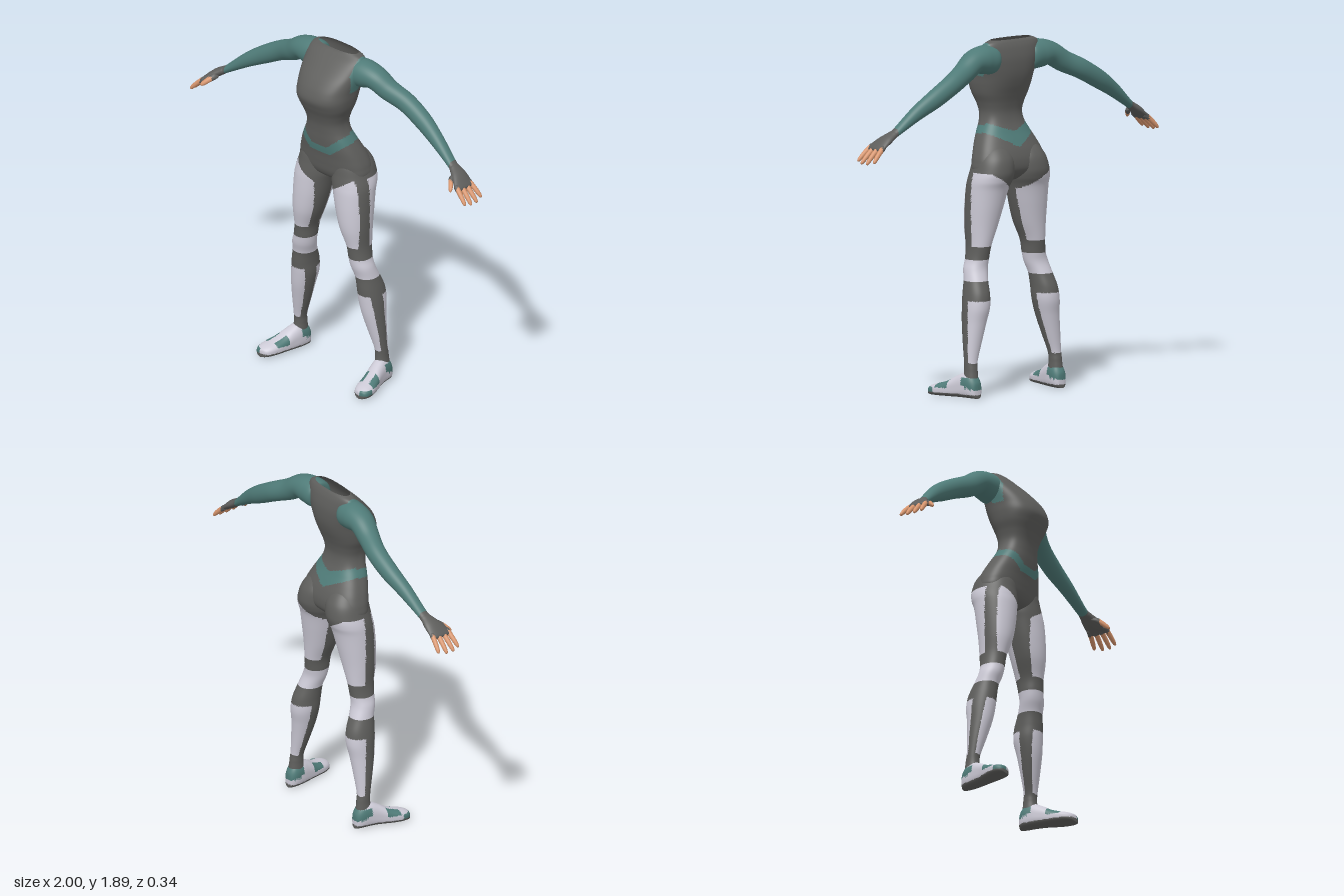
import * as THREE from 'three';

const flat = (name, color, side = THREE.FrontSide) => {
  const m = new THREE.MeshStandardMaterial({ color, side });
  m.name = name;
  return m;
};
const MATS = [
  flat('charcoal', 0x5e5e5c, THREE.DoubleSide),
  flat('teal', 0x4f7b78, THREE.DoubleSide),
  flat('paleLilac', 0xcccad6),
  flat('skin', 0xd8966e),
];
const DARK = 0, TEAL = 1, PALE = 2, SKIN = 3;
const lerp = THREE.MathUtils.lerp;

// Smoothly resample a list of stations
function resample(st, n) {
  const out = [];
  for (let i = 0; i <= n; i++) {
    const t = (i / n) * (st.length - 1);
    const k = Math.min(Math.floor(t), st.length - 2), f = t - k;
    const a = st[Math.max(k - 1, 0)], b = st[k], c = st[k + 1], d = st[Math.min(k + 2, st.length - 1)];
    out.push(b.map((v, j) => v + 0.5 * f * (c[j] - a[j] + f * (2 * a[j] - 5 * v + 4 * c[j] - d[j]
      + f * (3 * (v - c[j]) + d[j] - a[j])))));
  }
  return out;
}

// Superellipse coordinate pair
function oval(a, n) {
  const p = (v) => Math.sign(v) * Math.pow(Math.abs(v), 2 / n);
  return [p(Math.cos(a)), p(Math.sin(a))];
}

// Skin rings into one smooth mesh; paint(|x|, y, z) picks the colour of each face
function loft(name, rings, paint, mirror = 1) {
  const m = rings[0].length, pos = [], lists = MATS.map(() => []);
  rings.forEach((r) => r.forEach((p) => pos.push(p[0] * mirror, p[1], p[2])));
  const tris = [];
  for (let i = 0; i < rings.length - 1; i++) {
    for (let j = 0; j < m; j++) {
      const a = i * m + j, b = i * m + (j + 1) % m;
      tris.push([a, b, b + m], [a, b + m, a + m]);
    }
  }
  const P = (i) => new THREE.Vector3(pos[3 * i], pos[3 * i + 1], pos[3 * i + 2]);
  let volume = 0;
  tris.forEach(([a, b, c]) => { volume += P(a).dot(P(b).cross(P(c))); });
  tris.forEach(([a, b, c]) => {
    const g = P(a).add(P(b)).add(P(c)).divideScalar(3);
    lists[paint(Math.abs(g.x), g.y, g.z)].push(...(volume > 0 ? [a, b, c] : [a, c, b]));
  });
  const geo = new THREE.BufferGeometry();
  geo.setAttribute('position', new THREE.Float32BufferAttribute(pos, 3));
  geo.setIndex(lists.flat());
  let start = 0;
  lists.forEach((l, i) => {
    if (l.length) geo.addGroup(start, l.length, i);
    start += l.length;
  });
  geo.computeVertexNormals();
  const mesh = new THREE.Mesh(geo, MATS);
  mesh.name = name;
  return mesh;
}

// Horizontal rings from [y, centreX, halfWidth, zFront, zBack]
const uprightRings = (st, rows, sides, n) => resample(st, rows).map(([y, cx, w, f, b]) =>
  Array.from({ length: sides }, (_, j) => {
    const [c, s] = oval((j / sides) * Math.PI * 2, n);
    return [cx + w * c, y, (f + b) / 2 + ((f - b) / 2) * s];
  }));

// Rings across a limb from [x, y, z, halfThickness, halfDepth]
function limbRings(st, rows, sides) {
  const s = resample(st, rows);
  return s.map(([x, y, z, h, d], i) => {
    const p = s[Math.max(i - 1, 0)], q = s[Math.min(i + 1, rows)];
    const dx = q[0] - p[0], dy = q[1] - p[1], len = Math.hypot(dx, dy) || 1;
    return Array.from({ length: sides }, (_, j) => {
      const a = (j / sides) * Math.PI * 2, u = h * Math.cos(a);
      return [x - (dy / len) * u, y + (dx / len) * u, z + d * Math.sin(a)];
    });
  });
}

const TORSO = [
  [1.895, 0, .135, -.012, -.095], [1.88, 0, .17, 0, -.107], [1.85, 0, .185, .036, -.12],
  [1.80, 0, .185, .085, -.13], [1.75, 0, .177, .13, -.13], [1.70, 0, .168, .162, -.123],
  [1.65, 0, .163, .175, -.108], [1.60, 0, .152, .158, -.088], [1.55, 0, .131, .135, -.07],
  [1.50, 0, .119, .118, -.06], [1.45, 0, .128, .11, -.066], [1.40, 0, .155, .105, -.085],
  [1.35, 0, .182, .098, -.11], [1.30, 0, .205, .088, -.133], [1.25, 0, .221, .08, -.145],
  [1.20, 0, .222, .07, -.14], [1.165, 0, .16, .05, -.11], [1.14, 0, .05, .01, -.07], [1.135, 0, 0, -.03, -.03],
];
const LEG = [
  [1.34, .1, 0, -.03, -.03], [1.33, .1, .06, .03, -.10], [1.27, .108, .1, .065, -.152],
  [1.20, .12, .112, .076, -.167], [1.15, .129, .117, .083, -.158], [1.10, .139, .111, .088, -.138],
  [1.0, .153, .099, .09, -.118], [.9, .168, .083, .084, -.1], [.8, .187, .061, .063, -.086],
  [.73, .197, .06, .056, -.077], [.68, .21, .064, .05, -.078], [.62, .224, .062, .034, -.1],
  [.55, .235, .066, .03, -.128], [.48, .242, .069, .024, -.134], [.4, .254, .062, .013, -.121],
  [.3, .272, .05, -.01, -.111], [.2, .29, .035, -.033, -.106], [.15, .293, .033, -.036, -.112],
  [.08, .295, .034, -.03, -.115], [.075, .295, 0, -.07, -.07],
];
const ARM = [
  [.11, 1.79, -.05, 0, 0], [.12, 1.79, -.05, .07, .07], [.19, 1.797, -.055, .077, .077],
  [.265, 1.79, -.06, .063, .07], [.345, 1.742, -.075, .058, .06], [.45, 1.692, -.1, .054, .052],
  [.57, 1.626, -.1, .05, .047], [.68, 1.56, -.085, .039, .039], [.80, 1.474, -.067, .022, .03],
  [.83, 1.455, -.06, .021, .034], [.87, 1.43, -.05, .023, .05], [.91, 1.4, -.037, .018, .062],
  [.932, 1.384, -.035, .012, .058], [.937, 1.38, -.035, 0, 0],
];
// [z, centreX, halfWidth, height]
const FOOT = [
  [-.132, .293, 0, .06], [-.127, .293, .026, .09], [-.10, .294, .042, .124], [-.05, .3, .046, .135],
  [0, .312, .048, .115], [.05, .328, .053, .086], [.1, .342, .056, .069], [.14, .35, .05, .058],
  [.166, .354, .033, .046], [.175, .355, 0, .035],
];

// Suit with waist belt and shoulder patches
function paintTorso(x, y, z) {
  if (x > .165 && z < .04 && y > 1.7) return TEAL;
  const front = z > 0;
  const low = front ? 1.32 + Math.max(0, x - .07) * .8 : 1.32 + x * .5;
  const high = front ? 1.36 + Math.max(0, x - .05) * .85 : 1.40 + x * .35;
  return y > low && y < high ? TEAL : DARK;
}

// Pale panels broken by knee bands and side stripes
function paintLeg(x, y, z) {
  const cx = lerp(.3, .13, (y - .15) / 1);
  if (y > .62 && y < .73) return PALE;
  if (y >= .73) {
    if (y < .8 || y > 1.195 - Math.max(0, .2 - x) * .65) return DARK;
    const t = (y - .8) / .4;
    return x > cx
      ? (z < .042 && z > -.025 ? DARK : PALE)
      : (z < lerp(.035, .075, t) && z > lerp(-.035, -.06, t) ? DARK : PALE);
  }
  if (y > .52 || y < .19) return DARK;
  const t = (y - .19) / .33;
  return z < lerp(-.045, .008, t) && z > lerp(-.085, -.065, t) ? DARK : PALE;
}

// Dark sole, teal heel and side patches
function paintFoot(x, y, z) {
  const cx = lerp(.3, .35, (z + .05) / .19);
  if (y < .024) return DARK;
  if (z < -.05 && y > .05 + (z + .13) * .25 && y < .115) return TEAL;
  if (z > .03 && z < .105 && y > .05 && Math.abs(x - cx) > .022) return TEAL;
  if (z > .115 && y < .05 && x > cx) return TEAL;
  return PALE;
}

function buildSide(s) {
  const side = new THREE.Group();
  side.name = s > 0 ? 'leftLimbs' : 'rightLimbs';
  side.add(loft('leg', uprightRings(LEG, 190, 72, 2.1), paintLeg, s));
  side.add(loft('armAndGlove', limbRings(ARM, 120, 40), (x) => (x > .812 ? DARK : TEAL), s));

  // Shoe, lofted from heel to toe
  const shoe = resample(FOOT, 70).map(([z, cx, w, h]) => Array.from({ length: 48 }, (_, j) => {
    const a = (j / 48) * Math.PI * 2;
    const [c, v] = oval(a, Math.sin(a) < 0 ? 3.4 : 2.2);
    return [cx + w * c, .004 + (h / 2) * (1 + v), z];
  }));
  side.add(loft('shoe', shoe, paintFoot, s));

  // Four fingers: [base z, tip z, reach]
  [[.012, .03, .9], [-.02, -.008, 1], [-.052, -.052, 1], [-.082, -.097, .88]].forEach(([z0, z1, k], i) => {
    const at = (t, r) => [lerp(.905, lerp(.905, 1, k), t), lerp(1.402, lerp(1.402, 1.312, k), t * (.75 + .25 * t)),
      lerp(z0, z1, t), r, r];
    const rows = [at(0, 0), at(.02, .014), at(.4, .0135), at(.75, .012), at(.95, .008), at(1, 0)];
    side.add(loft('finger' + (i + 1), limbRings(rows, 20, 14), (x) => (x < .925 ? DARK : SKIN), s));
  });
  const thumb = [[.845, 1.435, -.02, 0, 0], [.85, 1.43, -.015, .016, .018], [.875, 1.407, .018, .015, .016],
    [.895, 1.386, .04, .011, .011], [.903, 1.376, .048, 0, 0]];
  side.add(loft('thumb', limbRings(thumb, 20, 14), (x, y, z) => (z < .012 ? DARK : SKIN), s));
  return side;
}

export function createModel() {
  const model = new THREE.Group();
  model.name = 'bodysuitFigure';
  model.add(loft('torso', uprightRings(TORSO, 150, 96, 2.5), paintTorso));
  model.add(buildSide(1), buildSide(-1));
  return model;
}
